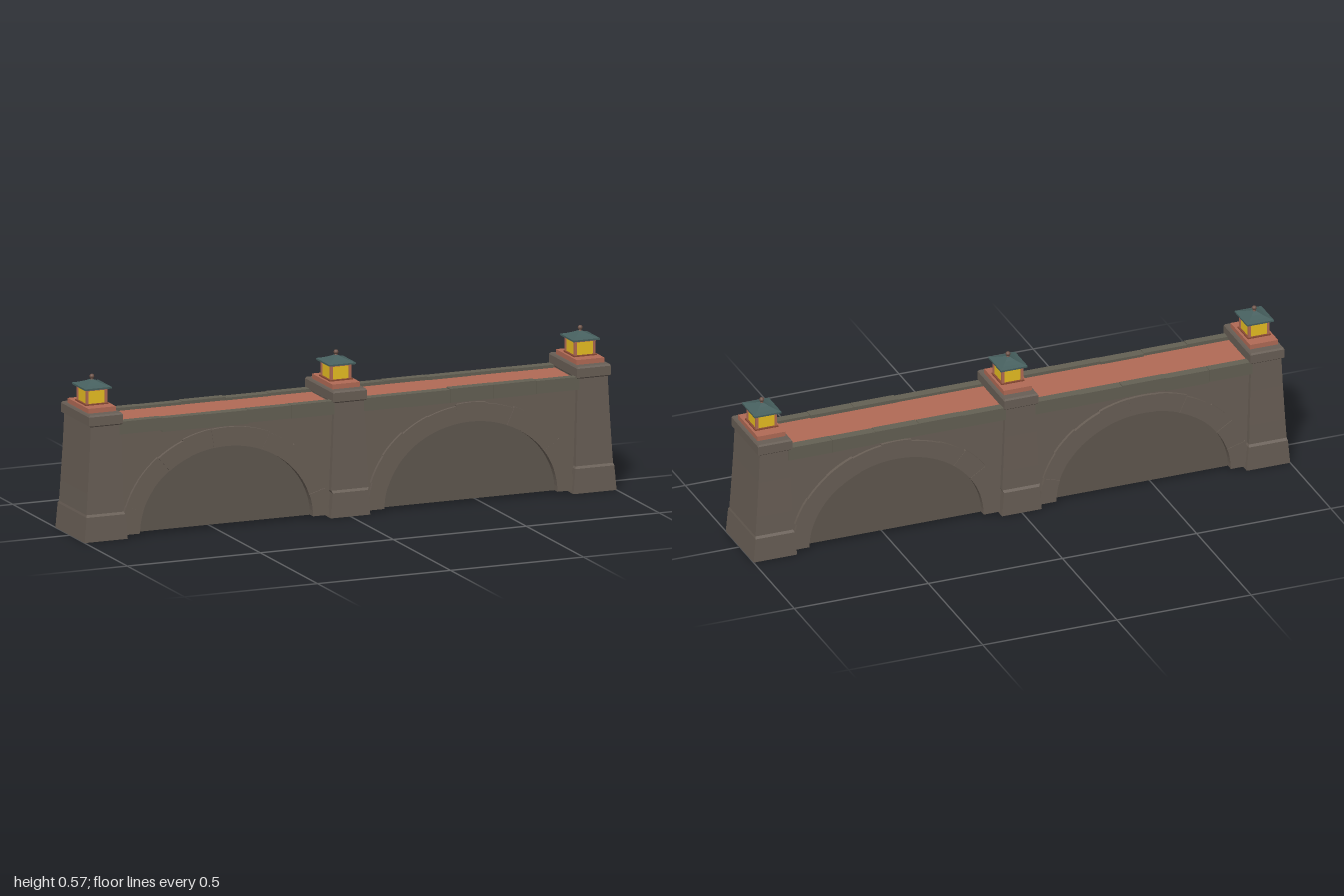
import * as THREE from 'three';

const mat = (name, color, side = THREE.FrontSide) => {
  const m = new THREE.MeshStandardMaterial({ color, side });
  m.name = name;
  return m;
};

// Small seeded generator for hand-cut stone variation, returns -1..1
let seed = 7;
const jitter = () => {
  seed = (seed * 16807) % 2147483647;
  return (seed / 2147483647) * 2 - 1;
};

// Rectangular sections [y, x0, x1, halfDepth] joined bottom to top, open below
function loft(sections) {
  const pos = [];
  const ring = ([y, x0, x1, z]) => [[x0, y, z], [x1, y, z], [x1, y, -z], [x0, y, -z]];
  const quad = (a, b, c, d) => pos.push(...a, ...b, ...c, ...a, ...c, ...d);
  for (let i = 0; i < sections.length - 1; i++) {
    const a = ring(sections[i]), b = ring(sections[i + 1]);
    for (let k = 0; k < 4; k++) {
      const n = (k + 1) % 4;
      quad(a[k], a[n], b[n], b[k]);
    }
  }
  quad(...ring(sections[sections.length - 1]));
  const g = new THREE.BufferGeometry();
  g.setAttribute('position', new THREE.Float32BufferAttribute(pos, 3));
  g.computeVertexNormals();
  return g;
}

export function createModel() {
  const stone = mat('stone', 0x685e55, THREE.DoubleSide);
  const infillStone = mat('infill stone', 0x5f574e);
  const copingStone = mat('coping stone', 0x636053);
  const terracotta = mat('terracotta', 0xb06a55);
  const darkClay = mat('dark clay', 0x8a4a34);
  const glow = mat('lantern yellow', 0xe6bd22);
  const slate = mat('roof slate', 0x47605f);
  const finialBrown = mat('finial brown', 0x6e5348);

  const root = new THREE.Group();
  root.name = 'archedWall';
  const add = (parent, name, geo, material, x = 0, y = 0, z = 0) => {
    const m = new THREE.Mesh(geo, material);
    m.name = name;
    m.position.set(x, y, z);
    parent.add(m);
    return m;
  };
  const box = (parent, name, material, w, h, d, x, y, z) =>
    add(parent, name, new THREE.BoxGeometry(w, h, d), material, x, y, z);
  const extrude = (shape, depth) => {
    const g = new THREE.ExtrudeGeometry(shape, { depth, bevelEnabled: false, curveSegments: 24 });
    return g.translate(0, 0, -depth / 2);
  };

  // Spandrel wall cut by two arches
  const cx = 0.46, y0 = 0.01, rxIn = 0.325, ryIn = 0.28, rxOut = 0.39, ryOut = 0.345;
  const wall = new THREE.Shape();
  wall.moveTo(-0.9, y0);
  for (const c of [-cx, cx]) {
    wall.lineTo(c - rxIn - 0.02, y0);
    wall.absellipse(c, y0, rxIn + 0.02, ryIn + 0.02, Math.PI, 0, true);
  }
  wall.lineTo(0.9, y0);
  wall.lineTo(0.9, 0.375);
  wall.lineTo(-0.9, 0.375);
  wall.closePath();
  add(root, 'spandrelWall', extrude(wall, 0.2), stone);

  // Arch infill panels and rings of separate voussoirs
  for (const c of [-cx, cx]) {
    const panel = new THREE.Shape();
    panel.absellipse(c, y0, rxIn + 0.03, ryIn + 0.03, 0, Math.PI, false);
    panel.closePath();
    add(root, 'archInfill', extrude(panel, 0.17), infillStone);

    const count = 11;
    for (let i = 0; i < count; i++) {
      const a0 = (i / count) * Math.PI, a1 = ((i + 1) / count) * Math.PI;
      const grow = jitter() * 0.005;
      const s = new THREE.Shape();
      const at = (rx, ry, a) => [c + rx * Math.cos(a), y0 + ry * Math.sin(a)];
      s.moveTo(...at(rxIn, ryIn, a0));
      for (let k = 0; k <= 4; k++) {
        s.lineTo(...at(rxOut + grow, ryOut + grow, a0 + (a1 - a0) * k / 4));
      }
      for (let k = 4; k > 0; k--) {
        s.lineTo(...at(rxIn, ryIn, a0 + (a1 - a0) * k / 4));
      }
      s.closePath();
      add(root, 'voussoir', extrude(s, 0.222 + jitter() * 0.005), stone);
    }
  }

  // Walkway deck between uneven coping slabs
  box(root, 'deck', terracotta, 1.76, 0.03, 0.19, 0, 0.387, 0);
  for (const side of [-1, 1]) {
    for (const bay of [-1, 1]) {
      const slabs = 5, span = 0.81 / slabs;
      for (let i = 0; i < slabs; i++) {
        const h = 0.047 + jitter() * 0.003, d = 0.033 + jitter() * 0.003;
        box(root, 'copingSlab', copingStone, span - 0.001, h, d,
          bay * (0.055 + span * (i + 0.5)), 0.413 - h / 2 + jitter() * 0.002, side * (0.117 - d / 2));
      }
    }
  }

  // Pillars with flared foot, tapered shaft and cap
  const levels = [ // y, inner x, outer x, half depth
    [0, 0.838, 1.0, 0.128], [0.088, 0.846, 0.992, 0.127], [0.096, 0.85, 0.99, 0.12],
    [0.17, 0.852, 0.985, 0.119], [0.3, 0.856, 0.977, 0.117], [0.405, 0.859, 0.972, 0.116],
    [0.41, 0.854, 0.981, 0.123], [0.442, 0.854, 0.981, 0.123], [0.448, 0.858, 0.977, 0.119],
  ];
  add(root, 'leftPillar', loft(levels), stone);
  add(root, 'rightPillar', loft(levels.map(([y, a, b, z]) => [y, -b, -a, z])), stone);
  add(root, 'middlePillar', loft(levels.map(([y, a, b, z]) => {
    const h = (b - a) / 2 - (y < 0.09 ? 0.007 : 0);
    return [y, -h, h, z];
  })), stone);

  // Lantern on a stepped clay plinth
  const makeLantern = (x) => {
    const g = new THREE.Group();
    g.name = 'lantern';
    g.position.x = x;
    root.add(g);
    box(g, 'plinth', terracotta, 0.104, 0.019, 0.18, 0, 0.4555, 0);
    box(g, 'plinthStep', darkClay, 0.086, 0.005, 0.094, 0, 0.467, 0);
    box(g, 'lampBody', glow, 0.072, 0.05, 0.08, 0, 0.493, 0);
    for (const sx of [-1, 1]) {
      for (const sz of [-1, 1]) {
        box(g, 'post', terracotta, 0.009, 0.054, 0.009, sx * 0.035, 0.494, sz * 0.039);
      }
    }
    box(g, 'topRail', terracotta, 0.08, 0.007, 0.088, 0, 0.519, 0);
    // Sweeping roof, closed below by an eave board
    add(g, 'roof', loft([
      [0.521, -0.05, 0.05, 0.058], [0.527, -0.05, 0.05, 0.058], [0.532, -0.034, 0.034, 0.04],
      [0.539, -0.018, 0.018, 0.021], [0.546, -0.006, 0.006, 0.007],
    ]), slate);
    box(g, 'eaveBoard', slate, 0.098, 0.003, 0.114, 0, 0.523, 0);
    add(g, 'finialNeck', new THREE.CylinderGeometry(0.004, 0.007, 0.008, 10), finialBrown, 0, 0.547, 0);
    add(g, 'finialBall', new THREE.SphereGeometry(0.0085, 14, 10), finialBrown, 0, 0.557, 0);
  };
  [-0.918, 0, 0.918].forEach(makeLantern);

  return root;
}
